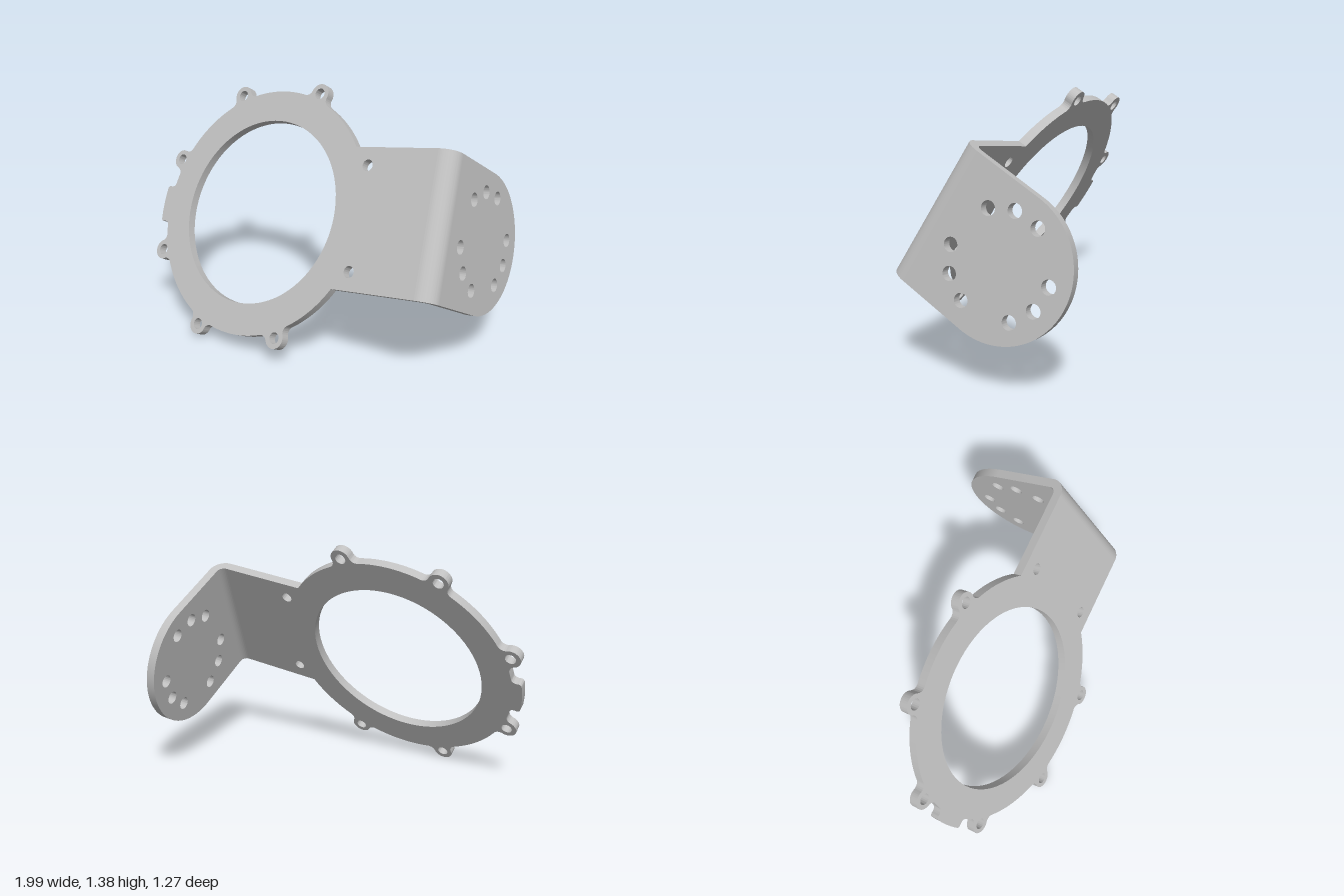
import * as THREE from 'three';
import { toCreasedNormals } from 'three/addons/utils/BufferGeometryUtils.js';

const T = 0.05;                    // sheet thickness
const R = 0.7, BORE = 0.525;       // ring radii
const EAR_D = 0.735, EAR_R = 0.057, FILLET = 0.04;
const HALF = 0.38;                 // half width of arm and flange
const FACE = 1.17, BEND = 0.09;    // outer flange face, outer bend radius
const FLANGE_D = 0.475;            // depth of the flange's round end centre
const rad = THREE.MathUtils.degToRad;
const polar = (r, a) => new THREE.Vector2(r * Math.cos(a), r * Math.sin(a));

function addHole(shape, x, y, r) {
  const hole = new THREE.Path();
  hole.absarc(x, y, r, 0, Math.PI * 2, true);
  shape.holes.push(hole);
}

function sheet(name, shape, depth, material, curveSegments) {
  const geo = new THREE.ExtrudeGeometry(shape, { depth, bevelEnabled: false, curveSegments });
  const mesh = new THREE.Mesh(toCreasedNormals(geo, rad(30)), material);
  mesh.name = name;
  return mesh;
}

// Rounded screw ear blended into the ring by two concave fillets
function addEar(shape, phi) {
  const D = EAR_D, a = R + FILLET, b = EAR_R + FILLET;
  const delta = Math.acos((D * D + a * a - b * b) / (2 * D * a));
  const e = polar(D, phi), f1 = polar(a, phi - delta), f2 = polar(a, phi + delta);
  const out1 = Math.atan2(f1.y - e.y, f1.x - e.x);
  const out2 = Math.atan2(f2.y - e.y, f2.x - e.x);
  shape.absarc(f1.x, f1.y, FILLET, phi - delta + Math.PI, out1 + Math.PI, true);
  shape.absarc(e.x, e.y, EAR_R, out1, out2, false);
  shape.absarc(f2.x, f2.y, FILLET, out2 + Math.PI, phi + delta + Math.PI, true);
  return delta;
}

function ringShape() {
  const s = new THREE.Shape();
  const armAngle = Math.asin(HALF / R);
  const c = Math.acos((EAR_D ** 2 + (R + FILLET) ** 2 - (EAR_R + FILLET) ** 2) / (2 * EAR_D * (R + FILLET)));
  s.moveTo(FACE - BEND, -HALF);
  s.lineTo(FACE - BEND, HALF);
  let from = armAngle;
  for (let k = 1; k <= 6; k++) {
    const phi = rad(22.5 + 45 * k);
    // Locating tab opposite the arm
    if (k === 4) {
      const t0 = rad(171.5), t1 = rad(188.5), soft = rad(2.5), tabR = 0.755;
      s.absarc(0, 0, R, from, t0 - soft, false);
      const q0 = polar(R, t0), p0 = polar(tabR - 0.02, t0), k0 = polar(tabR, t0), e0 = polar(tabR, t0 + rad(1.5));
      s.quadraticCurveTo(q0.x, q0.y, p0.x, p0.y);
      s.quadraticCurveTo(k0.x, k0.y, e0.x, e0.y);
      s.absarc(0, 0, tabR, t0 + rad(1.5), t1 - rad(1.5), false);
      const k1 = polar(tabR, t1), p1 = polar(tabR - 0.02, t1), q1 = polar(R, t1), e1 = polar(R, t1 + soft);
      s.quadraticCurveTo(k1.x, k1.y, p1.x, p1.y);
      s.quadraticCurveTo(q1.x, q1.y, e1.x, e1.y);
      from = t1 + soft;
    }
    s.absarc(0, 0, R, from, phi - c, false);
    from = phi + addEar(s, phi);
  }
  s.absarc(0, 0, R, from, Math.PI * 2 - armAngle, false);
  s.closePath();
  // Bore and eight screw holes
  addHole(s, 0, 0, BORE);
  for (let k = 0; k < 8; k++) {
    const p = polar(EAR_D, rad(22.5 + 45 * k));
    addHole(s, p.x, p.y, 0.031);
  }
  return s;
}

function bendShape() {
  const s = new THREE.Shape();
  s.absarc(FACE - BEND, -BEND, BEND, 0, Math.PI / 2, false);
  s.absarc(FACE - BEND, -BEND, BEND - T, Math.PI / 2, 0, true);
  s.closePath();
  return s;
}

function flangeShape() {
  const s = new THREE.Shape();
  s.moveTo(-BEND, -HALF);
  s.lineTo(-BEND, HALF);
  s.absarc(-FLANGE_D, 0, HALF, Math.PI / 2, Math.PI * 1.5, false);
  s.closePath();
  // Three groups of three holes on a circle
  for (const mid of [-45, 75, 195]) {
    for (const step of [-30, 0, 30]) {
      const p = polar(0.27, rad(mid + step));
      addHole(s, p.x - FLANGE_D, p.y, 0.037);
    }
  }
  return s;
}

export function createModel() {
  const metal = new THREE.MeshStandardMaterial({ color: 0xbfbfbf });
  metal.name = 'light grey metal';

  // Bracket in its own frame: ring centre at the origin, arm along +x, face at z = 0
  const bracket = new THREE.Group();
  bracket.name = 'bracket';

  const ring = sheet('ringAndArm', ringShape(), T, metal, 40);
  ring.position.z = -T;

  const bend = sheet('bend', bendShape(), 2 * HALF, metal, 16);
  bend.rotation.x = Math.PI / 2;
  bend.position.y = HALF;

  const flange = sheet('flange', flangeShape(), T, metal, 40);
  flange.rotation.y = -Math.PI / 2;
  flange.position.x = FACE;

  bracket.add(ring, bend, flange);
  bracket.rotation.z = rad(10.2);

  // Lean the whole bracket back
  const tilt = new THREE.Group();
  tilt.name = 'tiltedBracket';
  tilt.add(bracket);
  tilt.rotation.x = rad(-29.1);
  tilt.position.set(-0.225, 0.705, 0.264);

  const model = new THREE.Group();
  model.name = 'ringBracket';
  model.add(tilt);
  return model;
}
